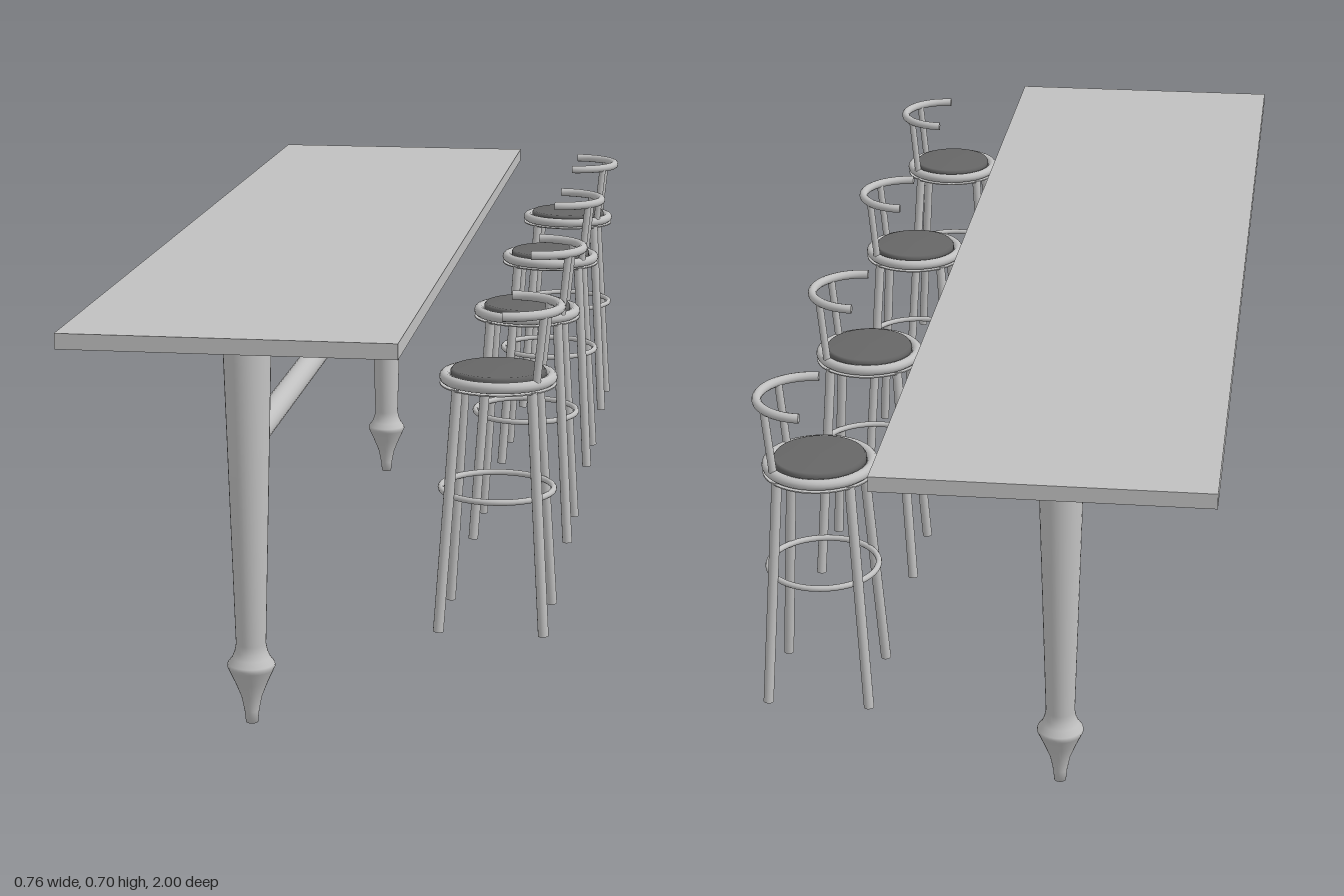
import * as THREE from 'three';

const frame = new THREE.MeshStandardMaterial({ color: 0xc0c0c0 });
frame.name = 'light grey';
const pad = new THREE.MeshStandardMaterial({ color: 0x666666 });
pad.name = 'dark grey';

function add(parent, name, geometry, material, x = 0, y = 0, z = 0) {
  const mesh = new THREE.Mesh(geometry, material);
  mesh.name = name;
  mesh.position.set(x, y, z);
  parent.add(mesh);
  return mesh;
}

// Capped round bar between two points
function bar(parent, name, a, b, radius, sides = 16) {
  const from = new THREE.Vector3(...a), to = new THREE.Vector3(...b);
  const dir = to.clone().sub(from);
  const mesh = add(parent, name, new THREE.CylinderGeometry(radius, radius, dir.length(), sides), frame);
  mesh.position.copy(from).add(to).multiplyScalar(0.5);
  mesh.quaternion.setFromUnitVectors(new THREE.Vector3(0, 1, 0), dir.normalize());
  return mesh;
}

function ring(parent, name, radius, tube, y) {
  const geometry = new THREE.TorusGeometry(radius, tube, 12, 48).rotateX(Math.PI / 2);
  return add(parent, name, geometry, frame, 0, y, 0);
}

function createTable() {
  const table = new THREE.Group();
  table.name = 'table';
  add(table, 'tableTop', new THREE.BoxGeometry(0.527, 0.025, 2), frame, -0.1165, 0.6675, 0);

  // Turned legs with a collar above a pointed foot
  const profile = [
    [0, 0], [0.01, 0], [0.012, 0.02], [0.017, 0.045], [0.027, 0.07], [0.037, 0.092],
    [0.0392, 0.097], [0.0385, 0.102], [0.031, 0.112], [0.027, 0.122], [0.0245, 0.135],
    [0.0392, 0.655], [0, 0.655],
  ].map(([r, y]) => new THREE.Vector2(r, y));
  for (const z of [0.82, -0.733]) {
    add(table, 'tableLeg', new THREE.LatheGeometry(profile, 32), frame, -0.118, 0, z);
  }
  bar(table, 'stretcher', [-0.118, 0.469, 0.82], [-0.118, 0.469, -0.733], 0.021, 24);
  return table;
}

function createStool() {
  const stool = new THREE.Group();
  stool.name = 'stool';

  // Seat: ring, thin underplate with a central opening, and cushion
  ring(stool, 'seatRing', 0.085, 0.009, 0.576);
  const plate = new THREE.Shape().absarc(0, 0, 0.093, 0, Math.PI * 2);
  plate.holes.push(new THREE.Path().absarc(0, 0, 0.055, 0, Math.PI * 2, true));
  const plateGeometry = new THREE.ExtrudeGeometry(plate, { depth: 0.002, bevelEnabled: false, curveSegments: 24 });
  add(stool, 'seatPlate', plateGeometry.rotateX(-Math.PI / 2), frame, 0, 0.564, 0);
  const cushion = [[0, 0.574], [0.076, 0.574], [0.076, 0.586], [0.073, 0.59], [0, 0.591]];
  add(stool, 'cushion', new THREE.LatheGeometry(cushion.map(([r, y]) => new THREE.Vector2(r, y)), 40), pad);

  // Four splayed legs and the foot ring
  for (const sx of [-1, 1]) {
    for (const sz of [-1, 1]) {
      bar(stool, 'stoolLeg', [sx * 0.084, 0.174, sz * 0.084], [sx * 0.059, 0.566, sz * 0.059], 0.0085);
    }
  }
  ring(stool, 'footRing', 0.0905, 0.005, 0.393);

  // Half-round backrest on two leaning posts
  const arc = new THREE.TorusGeometry(0.084, 0.0078, 12, 32, Math.PI);
  arc.rotateZ(-Math.PI / 2).rotateX(Math.PI / 2);
  add(stool, 'backrest', arc, frame, 0.0135, 0.69, 0);
  for (const s of [-1, 1]) {
    bar(stool, 'backPost', [0.065, 0.576, s * 0.056], [0.076, 0.69, s * 0.056], 0.0065);
    const cap = add(stool, 'backrestEnd', new THREE.CircleGeometry(0.0078, 12), frame, 0.0135, 0.69, s * 0.084);
    cap.rotation.y = -Math.PI / 2;
  }
  return stool;
}

export function createModel() {
  const model = new THREE.Group();
  model.name = 'tableWithStools';
  model.add(createTable());
  for (const z of [0.749, 0.237, -0.279, -0.741]) {
    const stool = createStool();
    stool.position.set(0.273, 0, z);
    model.add(stool);
  }
  return model;
}
